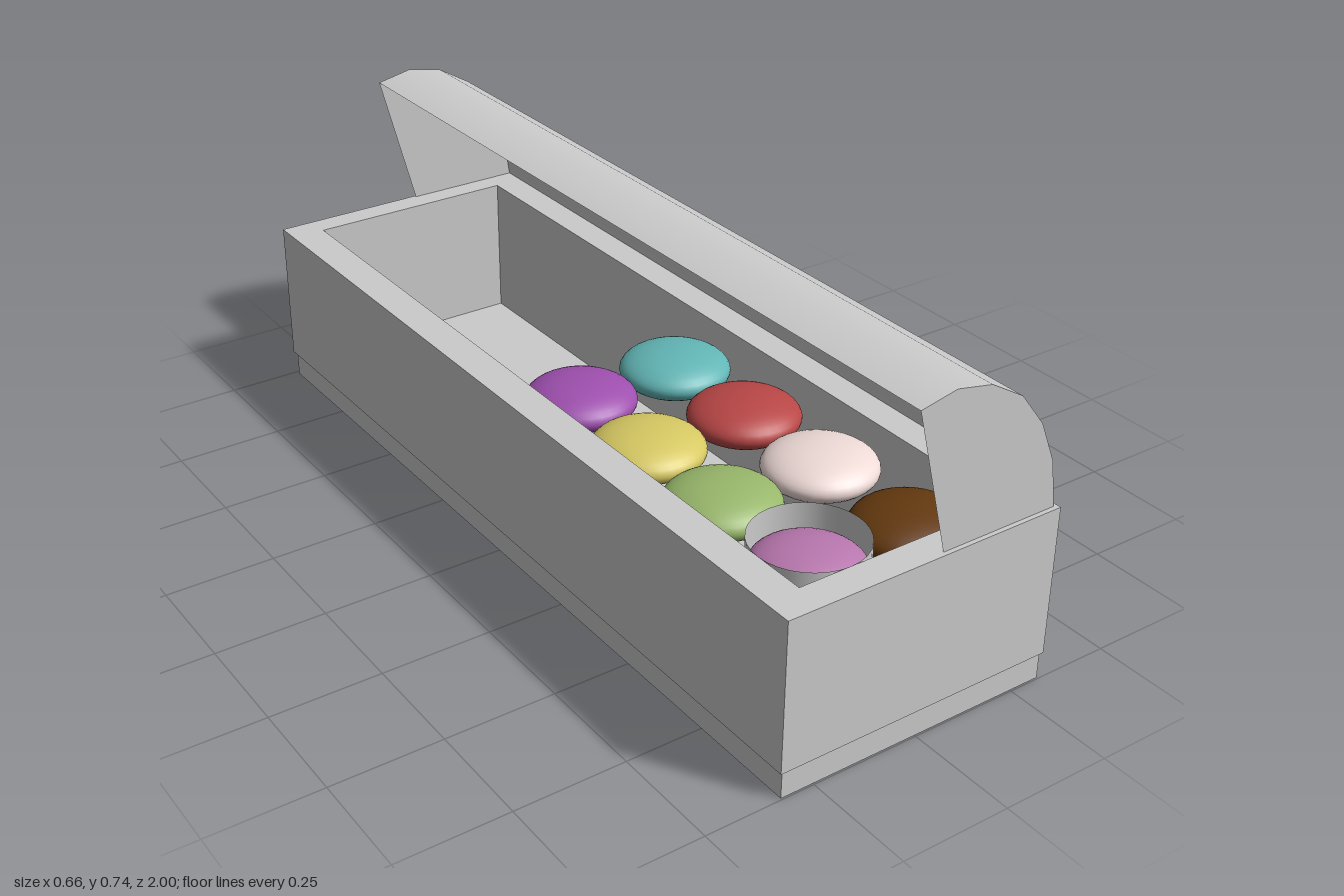
import * as THREE from 'three';

const mat = (color = 0xcccccc, side = THREE.FrontSide) =>
  new THREE.MeshStandardMaterial({ color, side });

export function createModel() {
  const group = new THREE.Group();
  const add = (name, geometry, material, x = 0, y = 0, z = 0) => {
    const mesh = new THREE.Mesh(geometry, material);
    mesh.name = name;
    mesh.position.set(x, y, z);
    group.add(mesh);
    return mesh;
  };
  const rect = (shape, x0, x1, y0, y1) => {
    shape.moveTo(x0, y0);
    shape.lineTo(x1, y0);
    shape.lineTo(x1, y1);
    shape.lineTo(x0, y1);
    shape.closePath();
    return shape;
  };

  // Plinth, which is also the floor of the box
  add('base', new THREE.BoxGeometry(0.648, 0.06, 1.985), mat(), -0.001, 0.03, 0.004);

  // Four thick walls: a rectangular frame extruded upwards
  const frame = rect(new THREE.Shape(), -0.33, 0.33, -1, 1);
  frame.holes.push(rect(new THREE.Path(), -0.25, 0.25, -0.93, 0.94));
  const walls = new THREE.ExtrudeGeometry(frame, { depth: 0.34, bevelEnabled: false });
  walls.rotateX(-Math.PI / 2);
  add('walls', walls, mat(), 0, 0.06, 0);

  // Tilted lid: a thin curved sheet whose lower edge sinks into the right-hand wall
  const profile = [
    [-0.045, 0.725], [0.04, 0.742], [0.125, 0.725], [0.205, 0.677],
    [0.265, 0.6], [0.305, 0.505], [0.32, 0.4], [0.301, 0.309],
  ];
  const zEnds = [-0.994, 0.99];
  const positions = [], normals = [], index = [];
  profile.forEach(([x, y], i) => {
    const a = profile[Math.max(i - 1, 0)];
    const b = profile[Math.min(i + 1, profile.length - 1)];
    const n = new THREE.Vector3(a[1] - b[1], b[0] - a[0], 0).normalize();
    for (const z of zEnds) {
      positions.push(x, y, z);
      normals.push(n.x, n.y, n.z);
    }
    if (i > 0) {
      const k = 2 * i;
      index.push(k - 2, k - 1, k, k - 1, k + 1, k);
    }
  });
  const sheet = new THREE.BufferGeometry();
  sheet.setAttribute('position', new THREE.Float32BufferAttribute(positions, 3));
  sheet.setAttribute('normal', new THREE.Float32BufferAttribute(normals, 3));
  sheet.setIndex(index);
  add('lidCurve', sheet, mat(0xcccccc, THREE.DoubleSide));

  // Flat ends of the lid, reaching down into the end walls
  const cap = new THREE.Shape([...profile, [0.066, 0.3]].map(([x, y]) => new THREE.Vector2(x, y)));
  for (const z of zEnds)
    add('lidEnd', new THREE.ShapeGeometry(cap), mat(0xcccccc, THREE.DoubleSide), 0, 0, z);

  // Two rows of flattened round sweets
  const rows = [
    [-0.125, [0x9e4fae, 0xd6c863, 0x98b76b, 0xb877ae]],
    [0.125, [0x62b5b5, 0xb84646, 0xeedad6, 0x64390f]],
  ];
  const sweet = new THREE.SphereGeometry(1, 32, 20);
  for (const [x, colors] of rows)
    colors.forEach((color, i) => {
      const inCup = x < 0 && i === 3;
      const r = inCup ? 0.119 : 0.124;
      const mesh = add('sweet', sweet, mat(color), inCup ? -0.13 : x, 0.33, [0.026, 0.28, 0.535, 0.81][i]);
      mesh.scale.set(r, 0.048, r);
    });

  // Open cup round the front sweet
  add('cup', new THREE.CylinderGeometry(0.12, 0.12, 0.14, 32, 1, true),
    mat(0xcccccc, THREE.DoubleSide), -0.13, 0.33, 0.81);

  return group;
}
